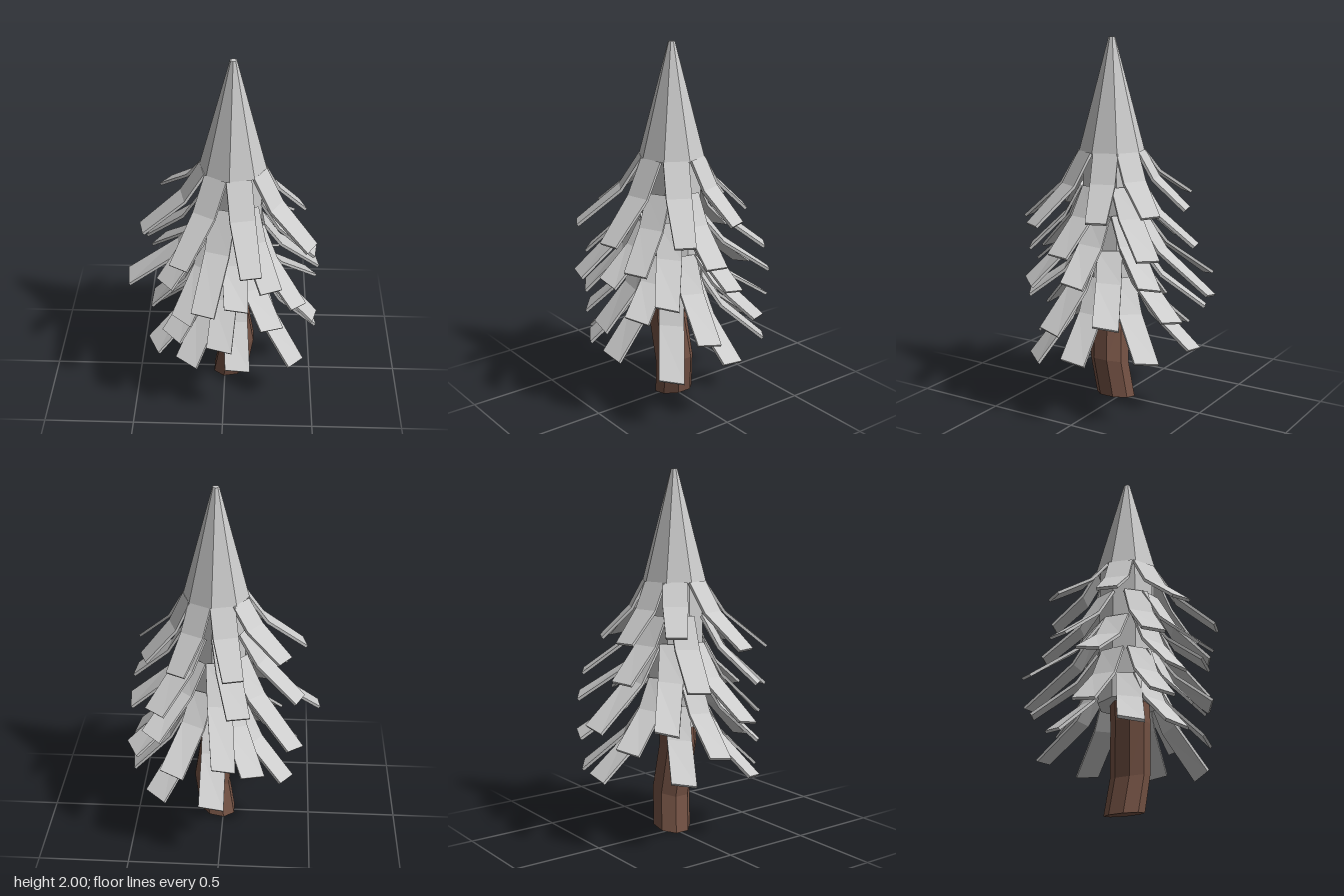
import * as THREE from 'three';

const CX = 0.04, CZ = 0.03; // axis of the crown
const rad = THREE.MathUtils.degToRad;

// One tier per entry: root height, branch tip width and sideways tilt, then the [x, z, height] of each tip.
const TIERS = [
  { root: 1.4, width: 0.11, tilt: 0, tips: [[0.42, -0.11, 1.08], [0.46, 0.26, 1.04], [0.145, 0.51, 1.02], [-0.225, 0.46, 1.04],
    [-0.44, 0.14, 1.07], [-0.335, -0.23, 1.15], [-0.07, -0.37, 1.1], [0.23, -0.32, 1.1]] },
  { root: 1.22, width: 0.125, tilt: 0.03, tips: [[0.49, 0.08, 0.9], [0.25, 0.42, 0.87], [-0.1, 0.54, 0.8], [-0.31, 0.34, 0.85],
    [-0.42, -0.15, 0.87], [-0.1, -0.41, 0.9], [0.34, -0.37, 0.9]] },
  { root: 1.07, width: 0.125, tilt: 0.1, tips: [[0.51, -0.02, 0.76], [0.4, 0.33, 0.71], [0.07, 0.47, 0.78], [-0.22, 0.42, 0.67],
    [-0.53, 0.08, 0.71], [-0.4, -0.34, 0.68], [-0.03, -0.54, 0.66], [0.36, -0.39, 0.76]] },
  { root: 0.88, width: 0.135, tilt: 0.08, tips: [[0.5, 0.13, 0.49], [0.26, 0.42, 0.62], [-0.02, 0.46, 0.5], [-0.28, 0.37, 0.52],
    [-0.41, 0, 0.5], [-0.18, -0.43, 0.55], [0.25, -0.46, 0.57], [0.49, -0.21, 0.56]] },
  { root: 0.73, width: 0.135, tilt: 0.08, tips: [[0.51, -0.02, 0.35], [0.4, 0.3, 0.29], [0.08, 0.46, 0.36], [-0.2, 0.41, 0.37],
    [-0.39, 0.25, 0.36], [-0.36, -0.2, 0.38], [0.04, -0.48, 0.37], [0.35, -0.37, 0.36]] },
];

// Thin slab bent once: steep at the root, flaring outwards to the tip (+x is outwards).
function branchGeometry(rootY, reach, tipY, width, tilt) {
  const profile = [
    { r: 0.162, y: rootY, w: 0.134 },
    { r: 0.162 + (reach - 0.162) * 0.32, y: rootY + (tipY - rootY) * 0.47, w: 0.134 },
    { r: reach, y: tipY, w: width },
  ];
  const geo = new THREE.BoxGeometry(1, 0.016, 1, 2, 1, 1);
  const pos = geo.attributes.position;
  for (let i = 0; i < pos.count; i++) {
    const row = Math.round((pos.getX(i) + 0.5) * 2);
    const { r, y, w } = profile[row];
    const offset = pos.getY(i), side = pos.getZ(i) * w;
    pos.setXYZ(i, r + offset * 0.65, y + offset * 0.75 + side * tilt * row, side);
  }
  return geo;
}

// Bent trunk with slanted rings.
function trunkGeometry() {
  const rings = [
    { x: 0.035, y: 0.021, z: 0.01, slope: 0.2 },
    { x: 0.067, y: 0.23, z: 0.03, slope: 0.3 },
    { x: 0.03, y: 0.5, z: 0.05, slope: 0 },
    { x: CX, y: 0.9, z: CZ, slope: 0 },
  ];
  const geo = new THREE.CylinderGeometry(0.106, 0.106, 3, 8, 3, false, rad(22.5));
  const pos = geo.attributes.position;
  for (let i = 0; i < pos.count; i++) {
    const ring = rings[Math.round(pos.getY(i) + 1.5)];
    const x = pos.getX(i);
    pos.setXYZ(i, x + ring.x, ring.y + x * ring.slope, pos.getZ(i) + ring.z);
  }
  return geo;
}

export function createModel() {
  const model = new THREE.Group();
  model.name = 'pineTree';
  const needles = new THREE.MeshStandardMaterial({ color: 0xcccccc, flatShading: true });
  const bark = new THREE.MeshStandardMaterial({ color: 0x745244, flatShading: true });

  const add = (parent, name, geometry, material) => {
    const mesh = new THREE.Mesh(geometry, material);
    mesh.name = name;
    parent.add(mesh);
    return mesh;
  };

  add(model, 'trunk', trunkGeometry(), bark);

  const crown = new THREE.Group();
  crown.name = 'crown';
  crown.position.set(CX, 0, CZ);
  model.add(crown);

  // Pointed treetop, one face above each branch of the first tier
  const top = add(crown, 'treetop', new THREE.CylinderGeometry(0.018, 0.178, 0.6, 8, 1, false, rad(-4.5)), needles);
  top.position.y = 1.7;

  // Core that carries the branches
  const core = add(crown, 'core', new THREE.CylinderGeometry(0.155, 0.165, 0.8, 8, 1, false, rad(-4.5)), needles);
  core.position.y = 1.01;

  TIERS.forEach(({ root, width, tilt, tips }, t) => {
    const tier = new THREE.Group();
    tier.name = `tier${t + 1}`;
    crown.add(tier);

    tips.forEach(([x, z, tipY]) => {
      const dx = x - CX, dz = z - CZ;
      const branch = add(tier, 'branch', branchGeometry(root, Math.hypot(dx, dz), tipY, width, tilt), needles);
      branch.rotation.y = -Math.atan2(dz, dx);
    });
  });

  return model;
}
